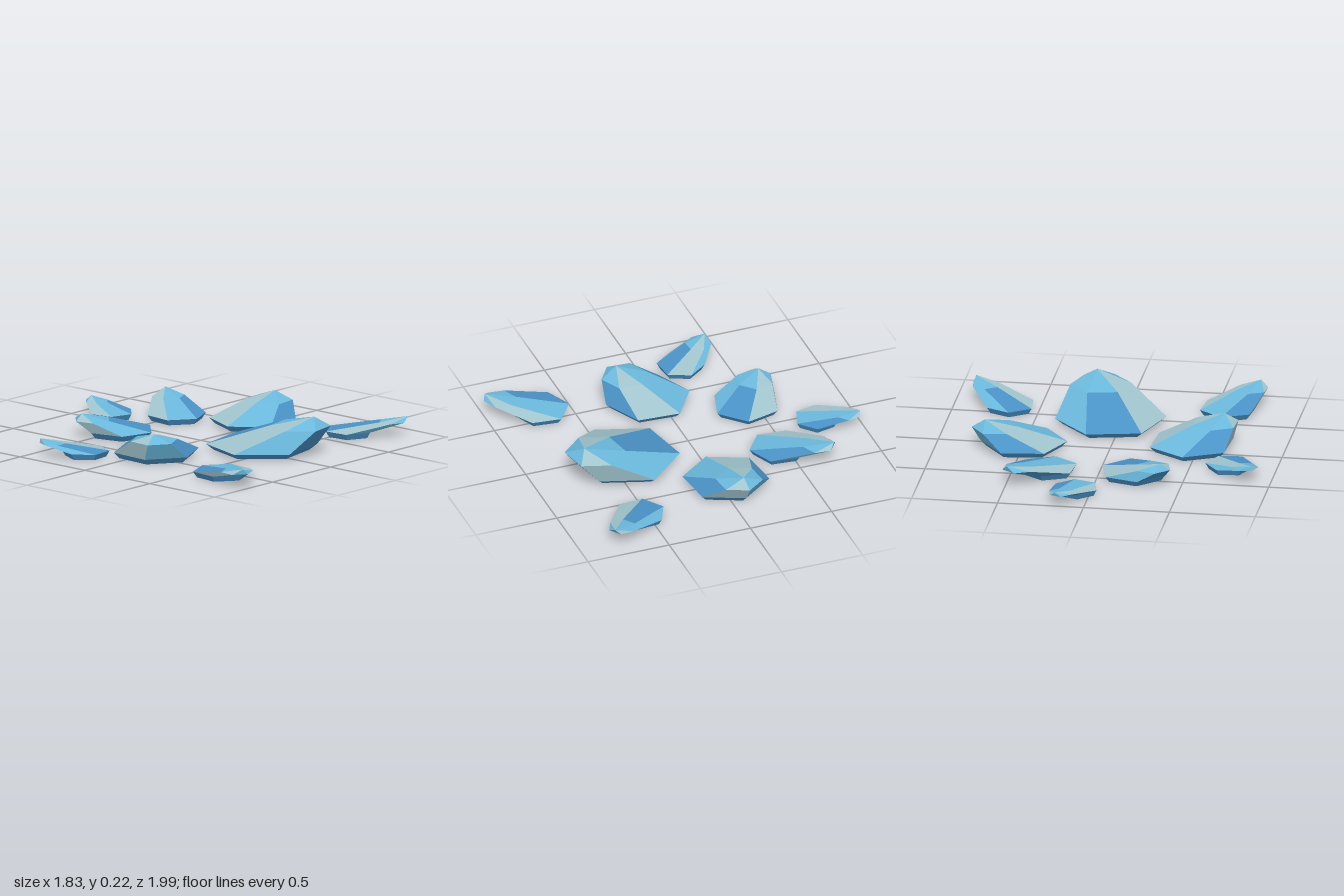
import * as THREE from 'three';

const mat = (name, color) => {
  const m = new THREE.MeshStandardMaterial({ color, flatShading: true });
  m.name = name;
  return m;
};

// x, z, radius, turn (degrees), tip height, tip lean in x and z
const CRYSTALS = [
  [0.06, 0.415, 0.32, -12, 0.22, 0.125, 0.295],
  [0.08, -0.76, 0.131, -42, 0.08, 0.09, -0.235],
  [0.29, -0.445, 0.172, -24, 0.12, 0.2, -0.267],
  [-0.205, -0.435, 0.2, -44, 0.135, -0.174, -0.144],
  [-0.73, -0.235, 0.138, -6, 0.1, -0.158, -0.208],
  [-0.463, 0.07, 0.252, -26.5, 0.18, -0.171, 0.13],
  [0.495, -0.043, 0.25, -6.5, 0.16, 0.222, -0.025],
  [0.667, 0.55, 0.148, -35, 0.11, 0.235, 0.245],
  [-0.583, 0.685, 0.171, -23.5, 0.11, -0.145, 0.288],
];
const BAND = 0.035, SHOULDER = 0.73;
const PALE = 0, BLUE = 1, SKY = 2;
const SIDE = [PALE, BLUE, SKY], CAP = [PALE, SKY, SKY];

// A leaning six-sided crystal: foot, girdle, shoulder ring and tip
function crystalGeometry(r, turn, h, dx, dz) {
  const ring = (radius, y, lean) => Array.from({ length: 6 }, (_, k) => {
    const a = THREE.MathUtils.degToRad(turn + 60 * k);
    return [dx * lean + radius * Math.cos(a), y, dz * lean + radius * Math.sin(a)];
  });
  const foot = ring(r * 0.86, 0, 0);
  const girdle = ring(r, BAND, 0);
  const shoulder = ring(r * 0.55, h * SHOULDER, SHOULDER);
  const tip = [dx, h, dz];

  const faces = [[], [], []];
  const quad = (c, a, b, d, e) => faces[c].push(...a, ...b, ...d, ...a, ...d, ...e);
  for (let k = 0; k < 6; k++) {
    const n = (k + 1) % 6;
    faces[BLUE].push(0, 0, 0, ...foot[k], ...foot[n]);
    quad(BLUE, foot[k], girdle[k], girdle[n], foot[n]);
    quad(SIDE[k % 3], girdle[k], shoulder[k], shoulder[n], girdle[n]);
    faces[CAP[k % 3]].push(...shoulder[k], ...tip, ...shoulder[n]);
  }

  // One geometry group per colour
  const geo = new THREE.BufferGeometry();
  let start = 0;
  faces.forEach((f, i) => {
    geo.addGroup(start, f.length / 3, i);
    start += f.length / 3;
  });
  geo.setAttribute('position', new THREE.Float32BufferAttribute(faces.flat(), 3));
  geo.computeVertexNormals();
  return geo;
}

export function createModel() {
  const group = new THREE.Group();
  group.name = 'crystalCluster';
  const materials = [
    mat('paleIce', 0xa0c4cd),
    mat('deepBlue', 0x4a92c6),
    mat('skyBlue', 0x6ab8dc),
  ];
  CRYSTALS.forEach(([x, z, ...shape], i) => {
    const mesh = new THREE.Mesh(crystalGeometry(...shape), materials);
    mesh.name = `crystal${i + 1}`;
    mesh.position.set(x, 0, z);
    group.add(mesh);
  });
  return group;
}
